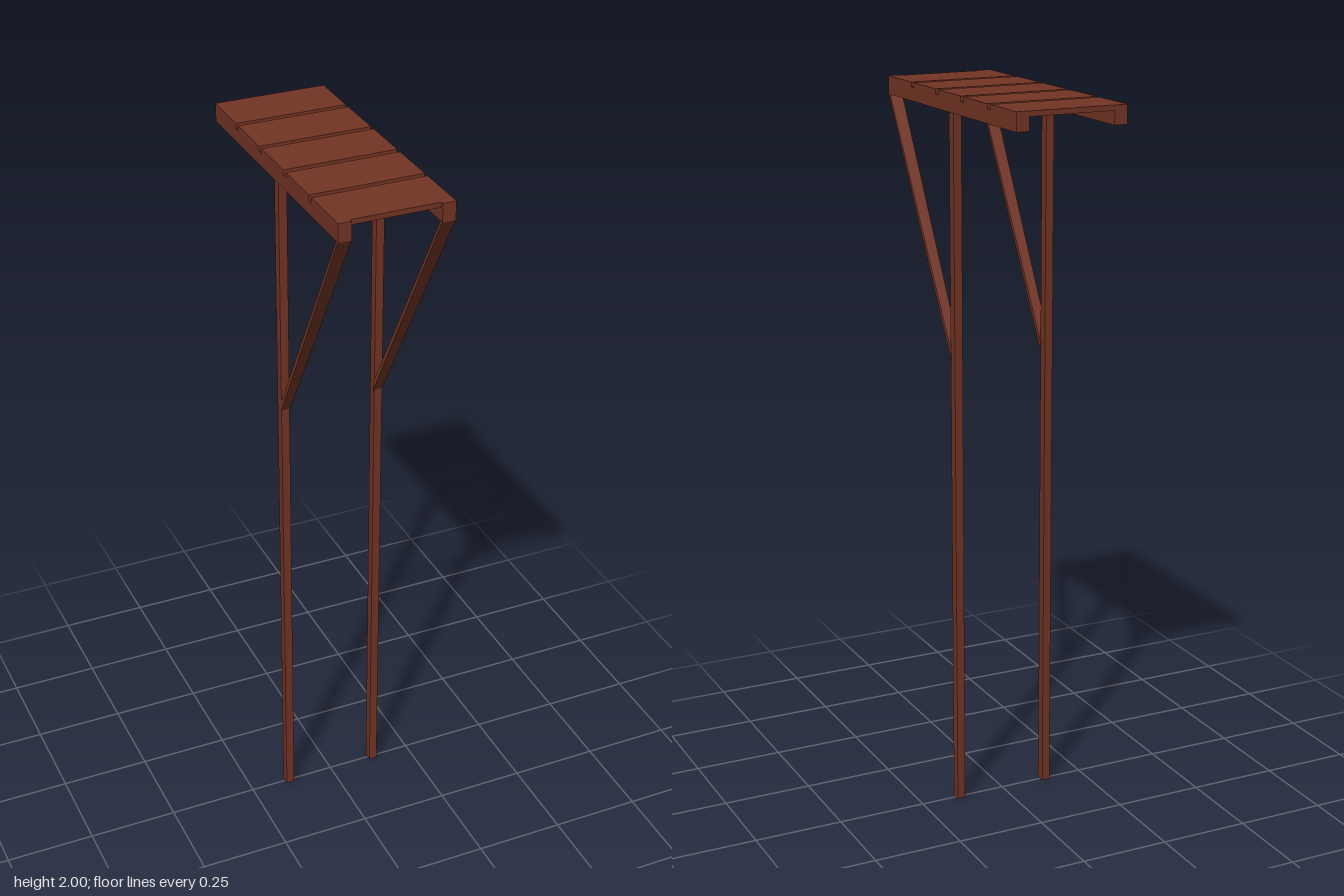
import * as THREE from 'three';

const TOP = 2, UNDERSIDE = 1.95, PLANK_Y = 1.986;
const RAIL_IN = 0.118, RAIL_OUT = 0.154, BACK = -0.393, FRONT = 0.393;
const GAPS = [[-0.248, -0.232], [-0.091, -0.075], [0.064, 0.081], [0.221, 0.237]];

// Side rail: long beam with a shallow notch at every gap between planks
function railGeometry() {
  const s = new THREE.Shape();
  s.moveTo(BACK, UNDERSIDE);
  s.lineTo(FRONT, UNDERSIDE);
  s.lineTo(FRONT, TOP);
  for (const [a, b] of [...GAPS].reverse()) {
    s.lineTo(b, TOP);
    s.lineTo(b, PLANK_Y);
    s.lineTo(a, PLANK_Y);
    s.lineTo(a, TOP);
  }
  s.lineTo(BACK, TOP);
  s.closePath();
  const g = new THREE.ExtrudeGeometry(s, { depth: RAIL_OUT - RAIL_IN, bevelEnabled: false });
  return g.rotateY(-Math.PI / 2);
}

// Brace: box sheared so its foot lies against the post and its head under the rail
function braceGeometry(side) {
  const g = new THREE.BoxGeometry(1, 1, 1).toNonIndexed();
  const p = g.attributes.position;
  for (let i = 0; i < p.count; i++) {
    const head = p.getY(i) > 0, outer = p.getX(i) * side > 0, front = p.getZ(i) > 0;
    const x = head ? (outer ? RAIL_OUT : RAIL_IN) : (outer ? 0.147 : 0.121);
    if (head) p.setXYZ(i, x * side, UNDERSIDE, front ? 0.392 : 0.382);
    else p.setXYZ(i, x * side, front ? 1.283 : 1.31, 0.01);
  }
  g.computeVertexNormals();
  return g;
}

export function createModel() {
  const model = new THREE.Group();
  model.name = 'raisedPlatform';
  const wood = new THREE.MeshStandardMaterial({ color: 0x733424 });
  wood.name = 'reddish brown wood';

  const add = (name, geometry, x = 0, y = 0, z = 0) => {
    const mesh = new THREE.Mesh(geometry, wood);
    mesh.name = name;
    mesh.position.set(x, y, z);
    model.add(mesh);
  };

  // Deck planks between the rails
  const starts = [BACK, ...GAPS.map((g) => g[1])];
  const ends = [...GAPS.map((g) => g[0]), 0.384];
  starts.forEach((a, i) => {
    const b = ends[i];
    add(`plank${i + 1}`, new THREE.BoxGeometry(RAIL_IN * 2, TOP - PLANK_Y, b - a),
      0, (TOP + PLANK_Y) / 2, (a + b) / 2);
  });

  // Rail, post and brace on each side
  for (const [side, label] of [[1, 'left'], [-1, 'right']]) {
    add(`${label}Rail`, railGeometry(), side > 0 ? RAIL_OUT : -RAIL_IN);
    add(`${label}Post`, new THREE.BoxGeometry(0.023, UNDERSIDE, 0.026), side * 0.135, UNDERSIDE / 2, 0);
    add(`${label}Brace`, braceGeometry(side));
  }
  return model;
}
